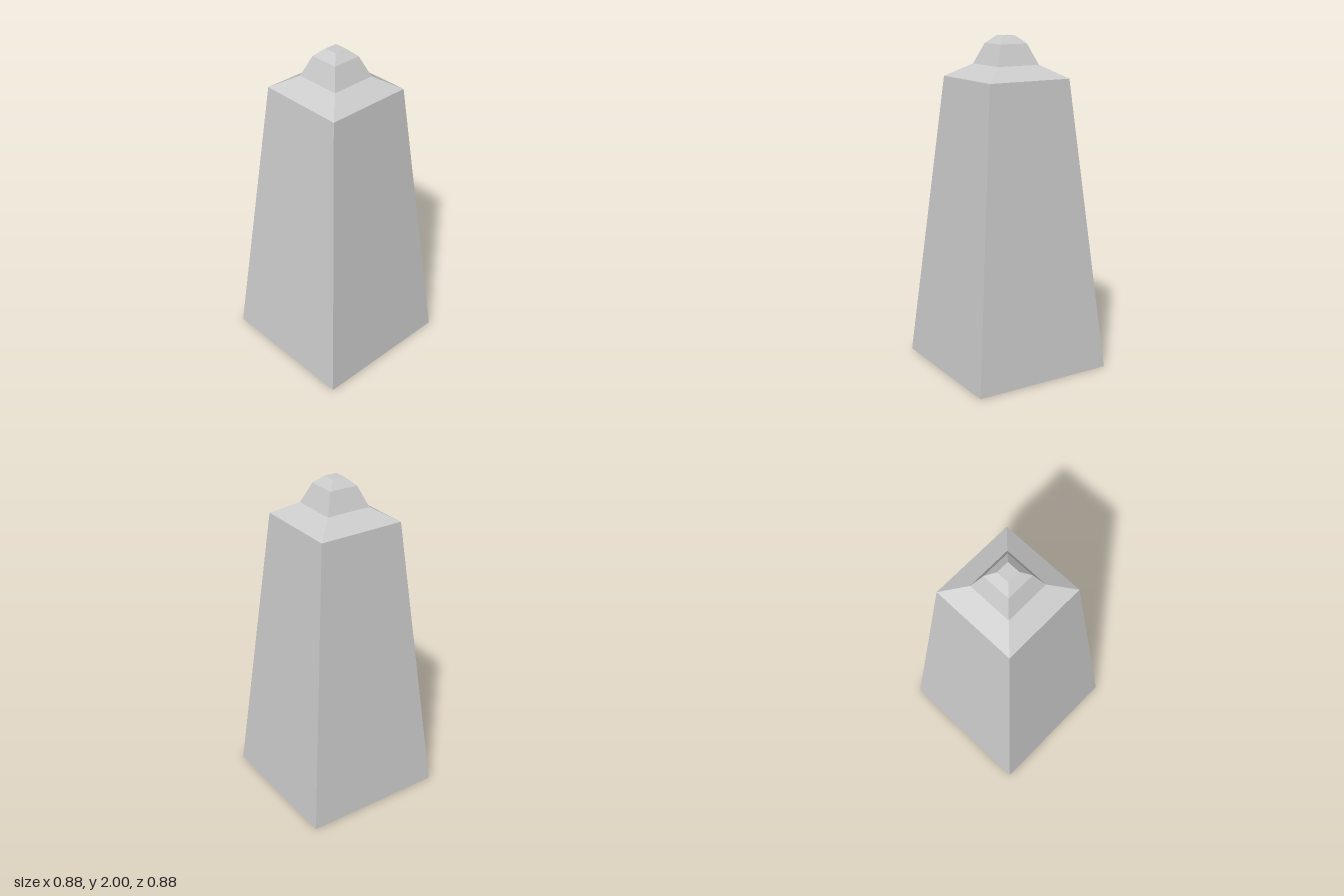
import * as THREE from 'three';

const material = new THREE.MeshStandardMaterial({ color: 0xcccccc, flatShading: true });

// Square shell swept from a profile of [half width, height], bottom to top
function squareShell(name, profile) {
  const points = profile.map(([half, y]) => new THREE.Vector2(half * Math.SQRT2, y));
  const geometry = new THREE.LatheGeometry(points, 4, Math.PI / 4).toNonIndexed();
  geometry.computeVertexNormals();
  const mesh = new THREE.Mesh(geometry, material);
  mesh.name = name;
  return mesh;
}

// Flat square lid facing up (direction 1) or down (direction -1)
function squareLid(name, half, y, direction) {
  const geometry = new THREE.PlaneGeometry(2 * half, 2 * half);
  geometry.rotateX(-direction * Math.PI / 2);
  const mesh = new THREE.Mesh(geometry, material);
  mesh.name = name;
  mesh.position.y = y;
  return mesh;
}

export function createModel() {
  const model = new THREE.Group();
  model.name = 'taperedPillar';

  // Tall tapered body with a closed underside
  model.add(squareShell('body', [[0.439, 0], [0.267, 1.758]]));
  model.add(squareLid('underside', 0.439, 0, -1));

  // Sloped shoulder rising into a faceted knob with a flat tip
  model.add(squareShell('shoulder', [[0.267, 1.758], [0.14, 1.834]]));
  model.add(squareShell('knob', [[0.14, 1.834], [0.089, 1.955], [0.04, 2]]));
  model.add(squareLid('tip', 0.04, 2, 1));

  return model;
}
